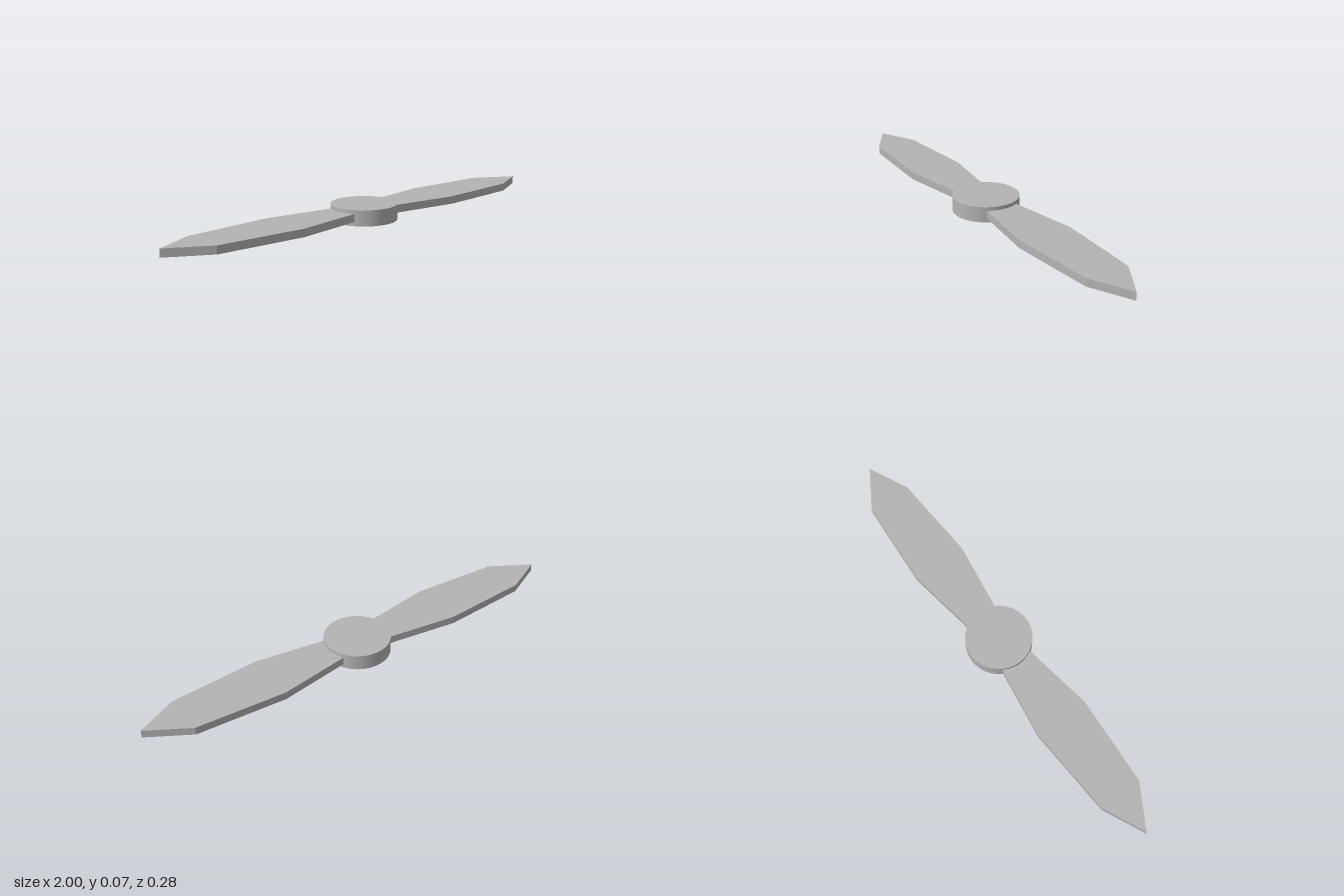
import * as THREE from 'three';

export function createModel() {
  const group = new THREE.Group();
  const gray = new THREE.MeshStandardMaterial({ color: 0xb4b4b4 });
  gray.name = 'lightGray';

  // Round hub
  const hub = new THREE.Mesh(new THREE.CylinderGeometry(0.142, 0.142, 0.068, 64), gray);
  hub.name = 'hub';
  hub.position.y = 0.034;
  group.add(hub);

  // Flat pointed blade outline; shape y becomes -z once laid down
  const outline = [
    [0.03, -0.055], [0.123, -0.07], [0.433, -0.113], [0.824, -0.085], [1, 0],
    [0.824, 0.104], [0.433, 0.126], [0.123, 0.074], [0.03, 0.058],
  ].map(([x, y]) => new THREE.Vector2(x, y));
  const bladeGeometry = new THREE.ExtrudeGeometry(new THREE.Shape(outline), { depth: 0.034, bevelEnabled: false });
  bladeGeometry.rotateX(-Math.PI / 2);
  bladeGeometry.translate(0, 0.018, 0);

  // Two blades, half a turn apart
  ['leftBlade', 'rightBlade'].forEach((name, i) => {
    const blade = new THREE.Mesh(bladeGeometry, gray);
    blade.name = name;
    blade.rotation.y = i * Math.PI;
    group.add(blade);
  });

  return group;
}
